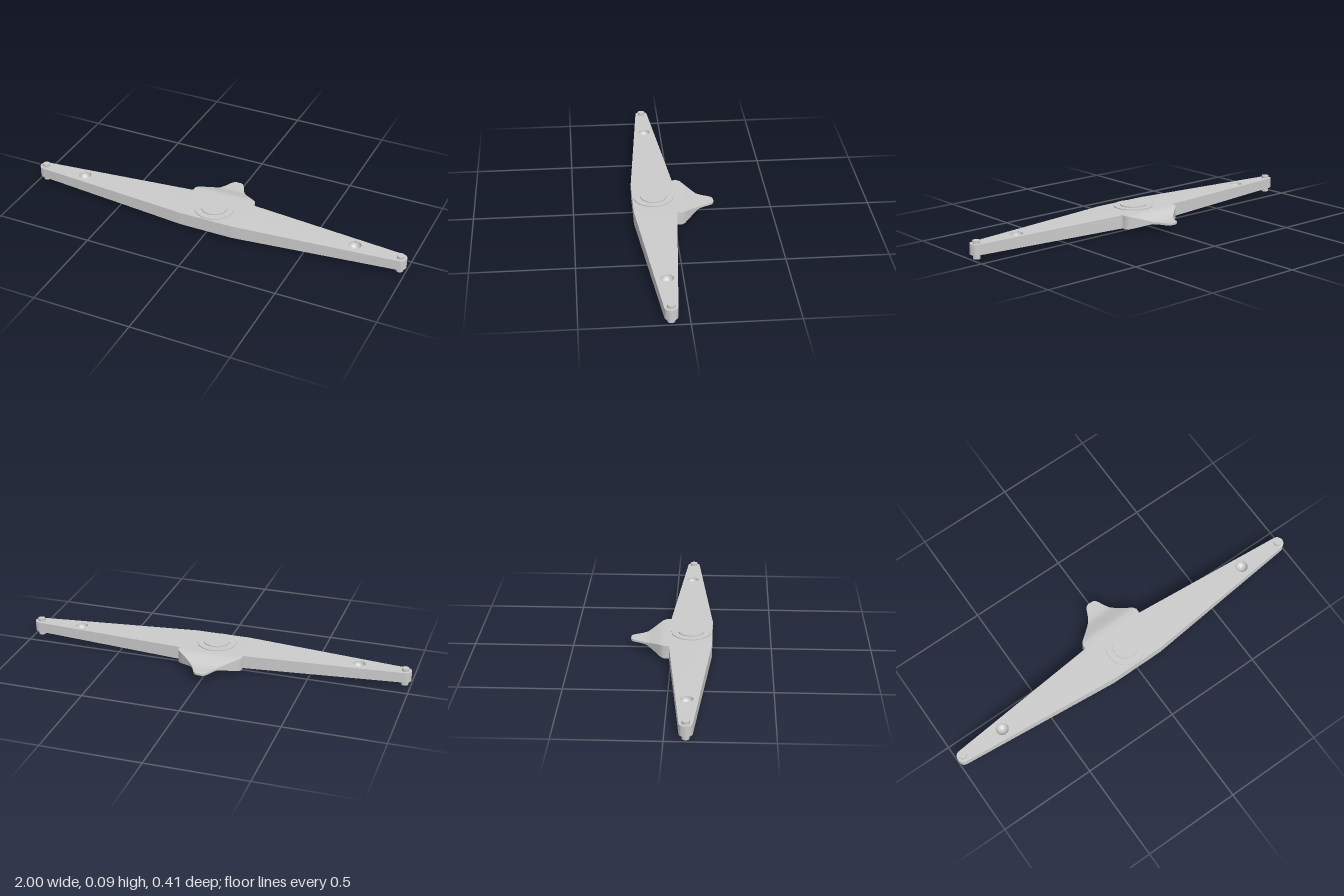
import * as THREE from 'three';
import { toCreasedNormals } from 'three/addons/utils/BufferGeometryUtils.js';

const MID_Y = 0.049, ROOT_X = 0.14, BACK_Z = -0.012, FRONT_Z = 0.203, SPLIT_Y = 0.045;
const material = new THREE.MeshStandardMaterial({ color: 0xcccccc });
const openMaterial = new THREE.MeshStandardMaterial({ color: 0xcccccc, side: THREE.DoubleSide });

// half thickness of the beam, thinning evenly towards the tips
const halfThick = (x) => 0.034 - 0.008 * THREE.MathUtils.clamp((Math.abs(x) - ROOT_X) / 0.83, 0, 1);

function add(parent, name, geometry, mat = material) {
  const mesh = new THREE.Mesh(geometry, mat);
  mesh.name = name;
  parent.add(mesh);
  return mesh;
}

// Slab from a plan outline of [x, z]; its faces follow the taper unless a flat height is given
function slab(points, flatBottom, flatTop, hole) {
  const shape = new THREE.Shape(points.map(([x, z]) => new THREE.Vector2(x, -z)));
  if (hole) shape.holes.push(new THREE.Path().absarc(hole.x, -hole.z, hole.r, 0, Math.PI * 2, true));
  const g = new THREE.ExtrudeGeometry(shape, { depth: 1, bevelEnabled: false, curveSegments: 16 });
  g.rotateX(-Math.PI / 2);
  const p = g.attributes.position;
  for (let i = 0; i < p.count; i++) {
    const h = halfThick(p.getX(i));
    p.setY(i, p.getY(i) > 0.5 ? flatTop ?? MID_Y + h : flatBottom ?? MID_Y - h);
  }
  return toCreasedNormals(g, 0.6);
}

function disc(parent, name, r, x, z, y0, y1) {
  const mesh = add(parent, name, new THREE.CylinderGeometry(r, r, y1 - y0, 40));
  mesh.position.set(x, (y0 + y1) / 2, z);
}

// One tapered arm with a round tip, a dimple on top and a pin through the tip
function arm(side, tipZ, dimpleZ) {
  const group = new THREE.Group();
  const outline = [[side * ROOT_X, BACK_Z]];
  for (let i = 0; i <= 12; i++) {
    const a = -Math.PI / 2 + (Math.PI * i) / 12;
    outline.push([side * (0.968 + 0.032 * Math.cos(a)), tipZ + 0.032 * Math.sin(a)]);
  }
  outline.push([side * ROOT_X, FRONT_Z]);
  const hole = { x: side * 0.738, z: dimpleZ, r: 0.031 };
  add(group, 'armTop', slab(outline, SPLIT_Y, undefined, hole));
  add(group, 'armBottom', slab(outline, undefined, SPLIT_Y));

  const profile = [];
  for (let i = 0; i <= 8; i++) {
    const a = (Math.PI / 2) * (i / 8);
    profile.push(new THREE.Vector2(hole.r * Math.sin(a), -0.031 * Math.cos(a)));
  }
  const bowl = add(group, 'dimple', new THREE.LatheGeometry(profile, 32), openMaterial);
  bowl.position.set(hole.x, MID_Y + halfThick(hole.x), hole.z);

  disc(group, 'tipPin', 0.018, side * 0.968, tipZ, 0, 0.089);
  return group;
}

// Tail lofted from rectangles: [z, half width, half height]
function tailGeometry() {
  const sections = [
    [0.01, 0.166, 0.034], [-0.035, 0.166, 0.034], [-0.05, 0.156, 0.0325], [-0.07, 0.131, 0.026],
    [-0.09, 0.107, 0.0185], [-0.11, 0.084, 0.011], [-0.126, 0.068, 0.006], [-0.15, 0.053, 0.005],
    [-0.18, 0.039, 0.005], [-0.195, 0.031, 0.005], [-0.202, 0.023, 0.005], [-0.206, 0.012, 0.005],
  ];
  const n = sections.length - 1;
  const g = new THREE.BoxGeometry(1, 1, 1, 1, 1, n);
  const p = g.attributes.position;
  for (let i = 0; i < p.count; i++) {
    const [z, w, h] = sections[Math.round((0.5 - p.getZ(i)) * n)];
    p.setXYZ(i, Math.sign(p.getX(i)) * w - 0.003, MID_Y + Math.sign(p.getY(i)) * h, z);
  }
  return toCreasedNormals(g, 0.6);
}

export function createModel() {
  const model = new THREE.Group();
  model.name = 'crossbeam';

  // centre of the beam
  add(model, 'beamCentre', slab([
    [-ROOT_X, BACK_Z], [ROOT_X, BACK_Z], [ROOT_X, FRONT_Z], [-ROOT_X, FRONT_Z],
  ]));

  // arms
  const left = arm(1, 0.086, 0.085);
  left.name = 'leftArm';
  const right = arm(-1, 0.098, 0.096);
  right.name = 'rightArm';
  model.add(left, right);

  // stepped hub on top
  disc(model, 'hubBase', 0.099, 0, 0.097, 0.07, 0.088);
  disc(model, 'hubCap', 0.066, 0, 0.097, 0.07, 0.094);

  // tail tab at the back
  add(model, 'tail', tailGeometry());
  return model;
}
